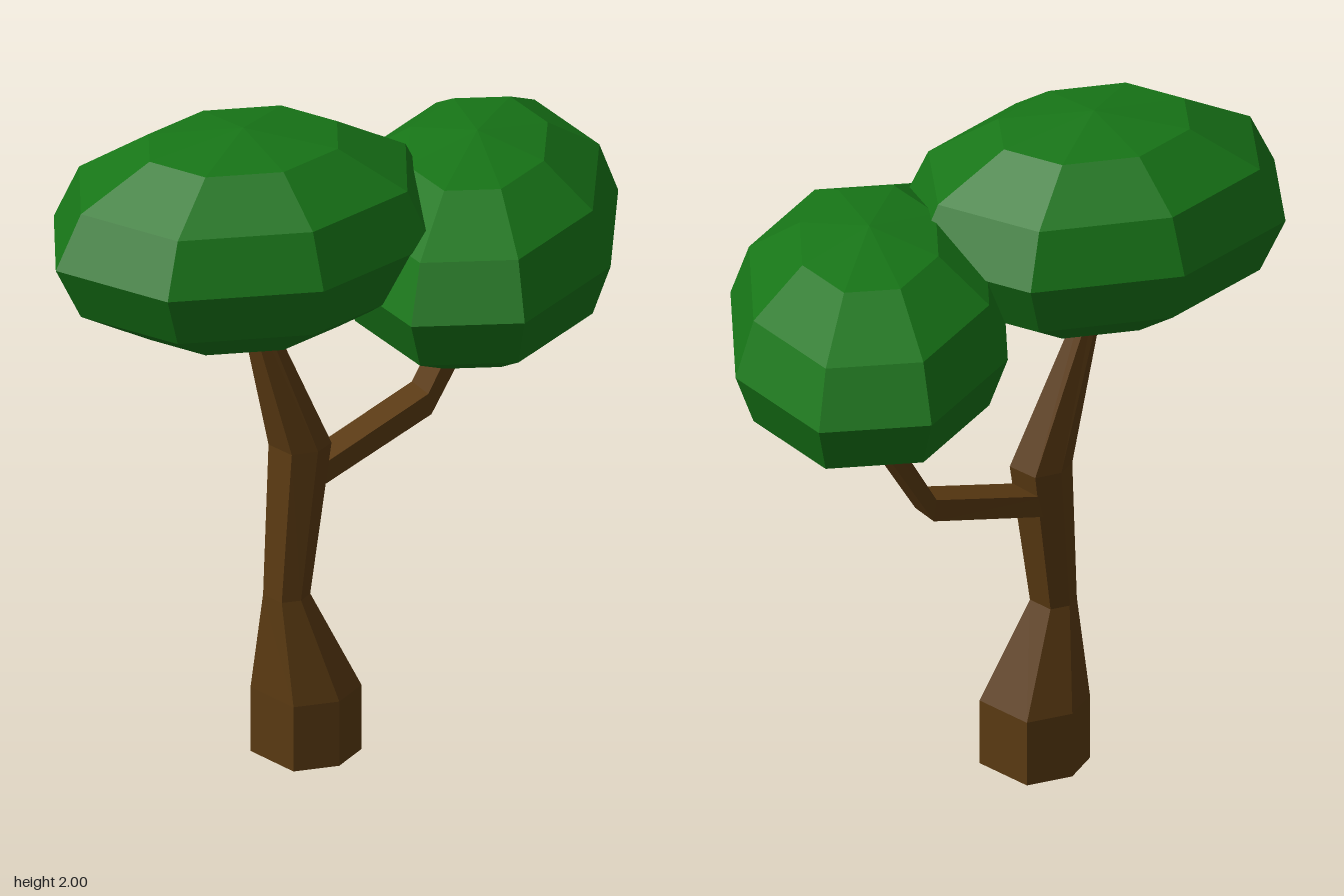
import * as THREE from 'three';

const bark = new THREE.MeshStandardMaterial({ color: 0x5a3a12, flatShading: true });
const leaf = new THREE.MeshStandardMaterial({ color: 0x177517, flatShading: true });

// Skin a list of equal-sized rings of [x, y, z] points and cap both ends
function loft(name, rings) {
  const n = rings[0].length;
  const index = [];
  for (let r = 0; r < rings.length - 1; r++) {
    for (let i = 0; i < n; i++) {
      const a = r * n + i;
      const b = r * n + (i + 1) % n;
      index.push(a, a + n, b + n, a, b + n, b);
    }
  }
  const top = (rings.length - 1) * n;
  for (let i = 1; i < n - 1; i++) {
    index.push(0, i, i + 1, top, top + i + 1, top + i);
  }
  const geometry = new THREE.BufferGeometry();
  geometry.setAttribute('position', new THREE.Float32BufferAttribute(rings.flat(2), 3));
  geometry.setIndex(index);
  geometry.computeVertexNormals();
  const mesh = new THREE.Mesh(geometry, bark);
  mesh.name = name;
  return mesh;
}

// Faceted ellipsoid; axisX and axisZ are its half-axes in plan as [x, z]
function canopy(name, center, axisX, axisZ) {
  const geometry = new THREE.SphereGeometry(1, 8, 6);
  geometry.applyMatrix4(new THREE.Matrix4().makeBasis(
    new THREE.Vector3(axisX[0], 0, axisX[1]),
    new THREE.Vector3(0, 0.32, 0),
    new THREE.Vector3(axisZ[0], 0, axisZ[1])
  ));
  const mesh = new THREE.Mesh(geometry, leaf);
  mesh.name = name;
  mesh.position.set(...center);
  return mesh;
}

export function createModel() {
  const tree = new THREE.Group();
  tree.name = 'tree';

  // Trunk: an uneven hexagon (0..1 in x and z) fitted to each level's bounds
  const hexagon = [[1, 0.74], [0.61, 1], [0.14, 0.91], [0, 0.26], [0.37, 0], [0.86, 0.07]];
  const levels = [ // y, xMin, xMax, zMin, zMax
    [0, -0.245, 0.04, -0.18, 0.105],
    [0.2, -0.245, 0.04, -0.18, 0.105],
    [0.5, -0.225, -0.105, -0.1, 0.025],
    [0.95, -0.195, -0.03, -0.13, 0.02],
    [1.5, -0.31, -0.265, -0.11, -0.055],
  ];
  tree.add(loft('trunk', levels.map(([y, x0, x1, z0, z1]) =>
    hexagon.map(([u, v]) => [x0 + u * (x1 - x0), y, z0 + v * (z1 - z0)]))));

  // Side branch: four-sided, with one elbow
  const sections = [ // top x, top y, bottom x, bottom y, zFront, zBack
    [-0.1, 0.875, -0.1, 0.81, -0.01, -0.11],
    [0.315, 1.005, 0.325, 0.94, -0.08, -0.18],
    [0.52, 1.35, 0.585, 1.35, -0.095, -0.185],
  ];
  tree.add(loft('branch', sections.map(([tx, ty, bx, by, zf, zb]) =>
    [[tx, ty, zf], [tx, ty, zb], [bx, by, zb], [bx, by, zf]])));

  // Foliage
  tree.add(canopy('upperCanopy', [-0.325, 1.68, 0], [0.605, 0], [0, 0.487]));
  tree.add(canopy('lowerCanopy', [0.43, 1.515, 0], [0.495, -0.075], [-0.18, 0.625]));

  return tree;
}
